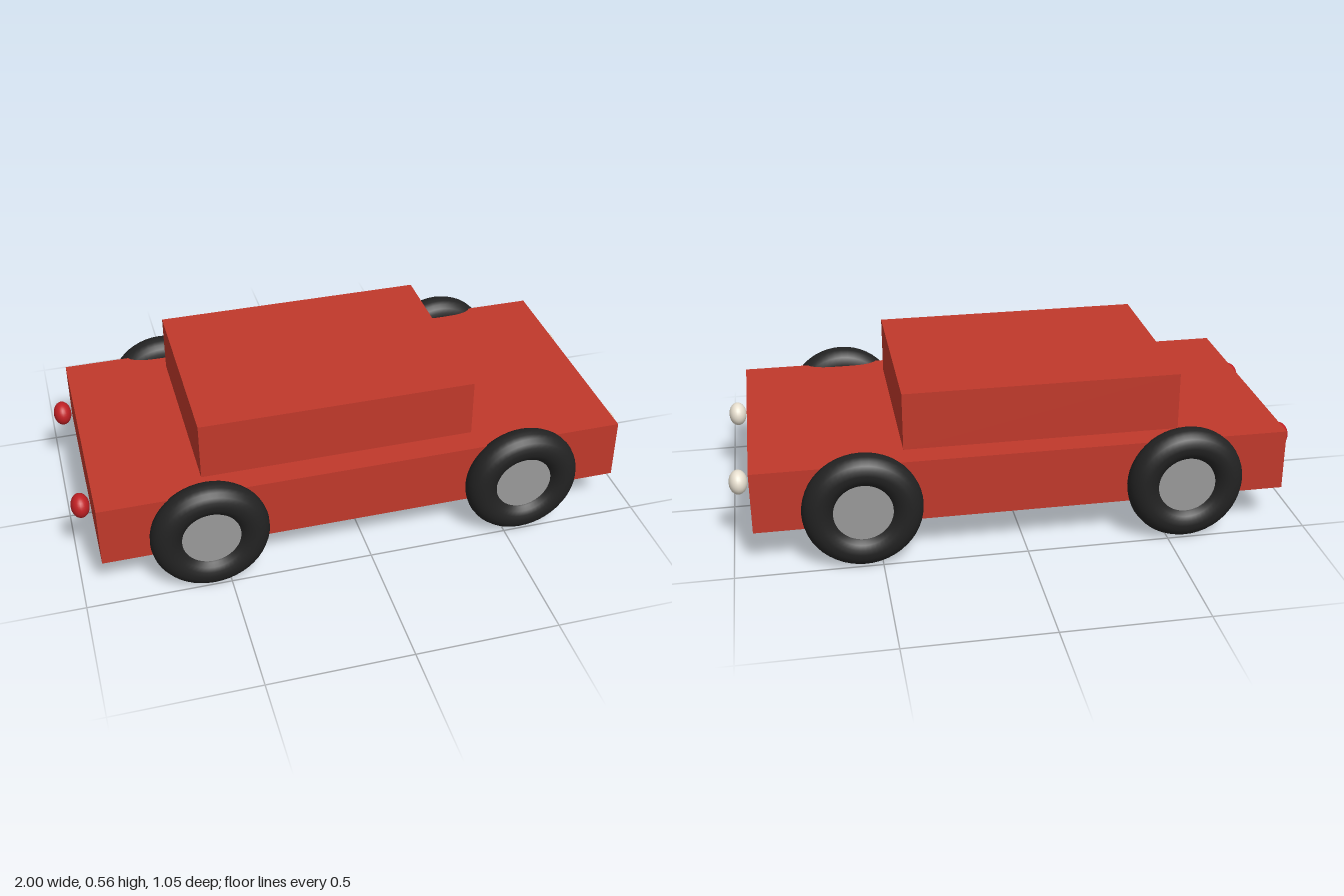
import * as THREE from 'three';

const paint = (color) => new THREE.MeshStandardMaterial({ color });

function addMesh(parent, name, geometry, material, x, y, z) {
  const mesh = new THREE.Mesh(geometry, material);
  mesh.name = name;
  mesh.position.set(x, y, z);
  parent.add(mesh);
  return mesh;
}

export function createModel() {
  const car = new THREE.Group();
  car.name = 'car';

  const red = paint(0xc0392b);
  const rubber = paint(0x222222);
  const metal = paint(0x999999);
  const lampWhite = paint(0xe8e0d0);
  const lampRed = paint(0xc02024);

  // Body and cabin
  addMesh(car, 'body', new THREE.BoxGeometry(1.856, 0.22, 0.894), red, 0, 0.245, 0);
  addMesh(car, 'cabin', new THREE.BoxGeometry(0.967, 0.206, 0.706), red, -0.077, 0.458, 0);

  // Wheels: round tyre with a recessed hub disc
  const tyre = new THREE.TorusGeometry(0.149, 0.056, 20, 48);
  const hub = new THREE.CylinderGeometry(0.104, 0.104, 0.056, 32).rotateX(Math.PI / 2);
  for (const [end, x] of [['front', 0.56], ['rear', -0.56]]) {
    for (const side of [-1, 1]) {
      const wheel = new THREE.Group();
      wheel.name = `${end}Wheel`;
      wheel.position.set(x, 0.205, side * 0.469);
      addMesh(wheel, 'tyre', tyre, rubber, 0, 0, 0);
      addMesh(wheel, 'hub', hub, metal, 0, 0, 0);
      car.add(wheel);
    }
  }

  // Lamps: flattened spheres just off each end of the body
  const lamp = new THREE.SphereGeometry(0.043, 24, 16).scale(0.744, 1, 1);
  for (const side of [-1, 1]) {
    addMesh(car, 'headlight', lamp, lampWhite, 0.968, 0.246, side * 0.28);
    addMesh(car, 'tailLight', lamp, lampRed, -0.968, 0.264, side * 0.28);
  }

  return car;
}
